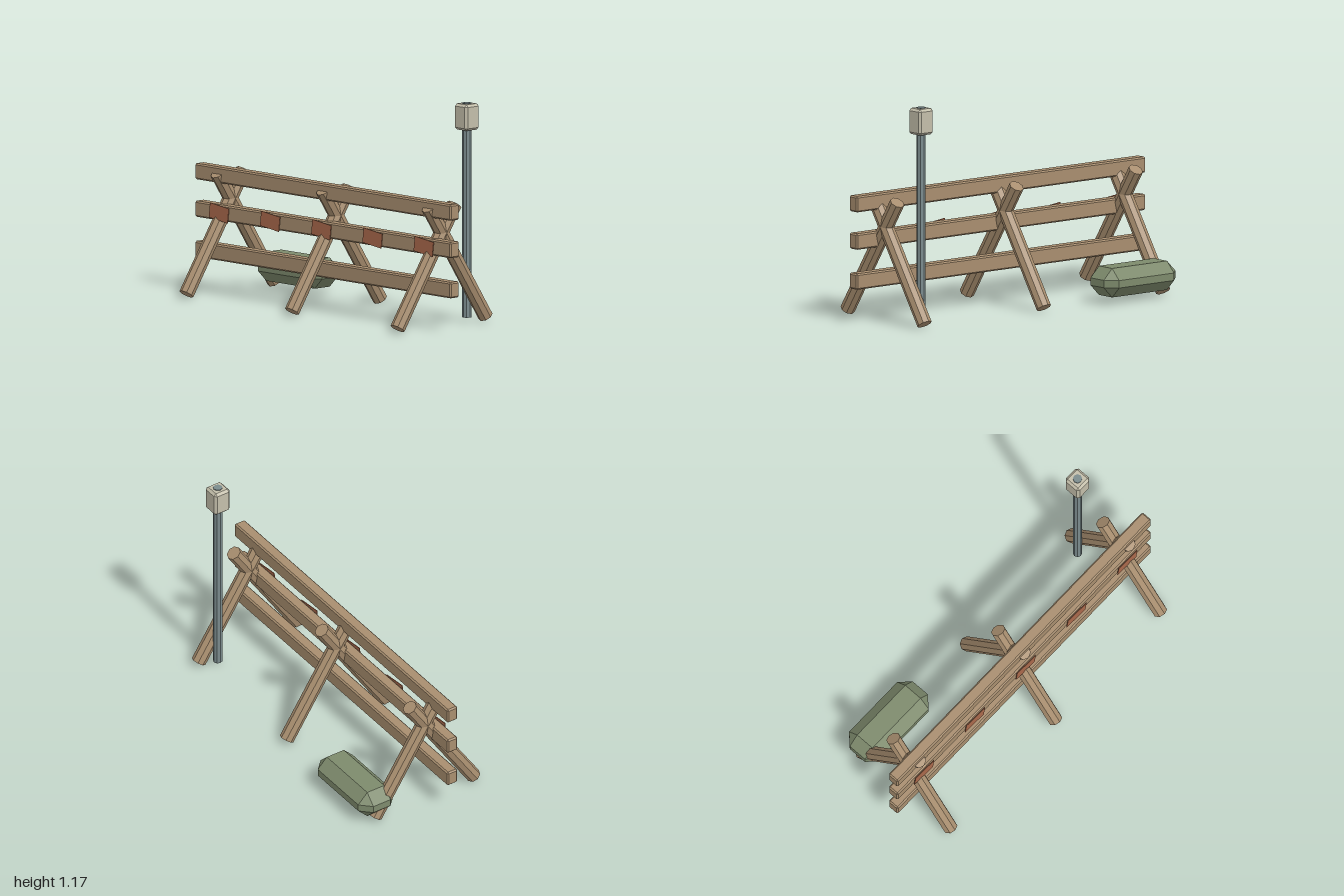
import * as THREE from 'three';
import { ConvexGeometry } from 'three/addons/geometries/ConvexGeometry.js';

const material = (name, color) => {
  const m = new THREE.MeshStandardMaterial({ color, flatShading: true });
  m.name = name;
  return m;
};

// Box with every edge and corner cut by c
function chamferBox(w, h, d, c) {
  const points = [];
  const [x, y, z] = [w / 2, h / 2, d / 2];
  for (const sx of [-1, 1]) for (const sy of [-1, 1]) for (const sz of [-1, 1]) {
    points.push(
      new THREE.Vector3(sx * x, sy * (y - c), sz * (z - c)),
      new THREE.Vector3(sx * (x - c), sy * y, sz * (z - c)),
      new THREE.Vector3(sx * (x - c), sy * (y - c), sz * z)
    );
  }
  return new ConvexGeometry(points);
}

export function createModel() {
  const group = new THREE.Group();
  group.name = 'barricade';

  const wood = material('wood', 0xa88e6f);
  const rust = material('rust red', 0xa9694b);
  const canvas = material('olive canvas', 0x7d8a6c);
  const steel = material('blue grey steel', 0x7b8b8d);
  const housing = material('pale housing', 0xc3beaa);

  const add = (name, geometry, mat, x, y, z) => {
    const mesh = new THREE.Mesh(geometry, mat);
    mesh.name = name;
    mesh.position.set(x, y, z);
    group.add(mesh);
    return mesh;
  };

  // Three pairs of crossed round legs
  const legSpan = new THREE.Vector3(0, 0.625, -0.41);
  const legGeometry = new THREE.CylinderGeometry(0.04, 0.04, legSpan.length(), 8);
  const tilt = Math.atan2(legSpan.z, legSpan.y);
  for (const x of [-0.825, 0, 0.825]) {
    add('frontLeg', legGeometry, wood, x, 0.338, 0.145).rotation.x = tilt;
    add('backLeg', legGeometry, wood, x, 0.338, -0.08).rotation.x = -tilt;
  }

  // Horizontal rails
  const railGeometry = chamferBox(2, 0.086, 0.066, 0.008);
  for (const y of [0.226, 0.441, 0.642]) add('rail', railGeometry, wood, 0, y, 0.097);

  // Slanted marker plates along the middle rail
  const plateGeometry = new THREE.BoxGeometry(0.147, 0.08, 0.004);
  for (let i = -2; i <= 2; i++) {
    add('markerPlate', plateGeometry, rust, i * 0.4, 0.441, 0.138).rotation.z = -0.12;
  }

  // Lamp post, its top showing just above the lamp housing
  add('lampPost', new THREE.CylinderGeometry(0.025, 0.025, 1.15, 8), steel, 0.775, 0.6, -0.196);
  add('lampHousing', chamferBox(0.1, 0.14, 0.1, 0.013), housing, 0.775, 1.101, -0.196);

  // Padded bundle lying behind the left-hand legs
  add('bundle', chamferBox(0.495, 0.156, 0.225, 0.058), canvas, -0.627, 0.117, -0.272);

  return group;
}
